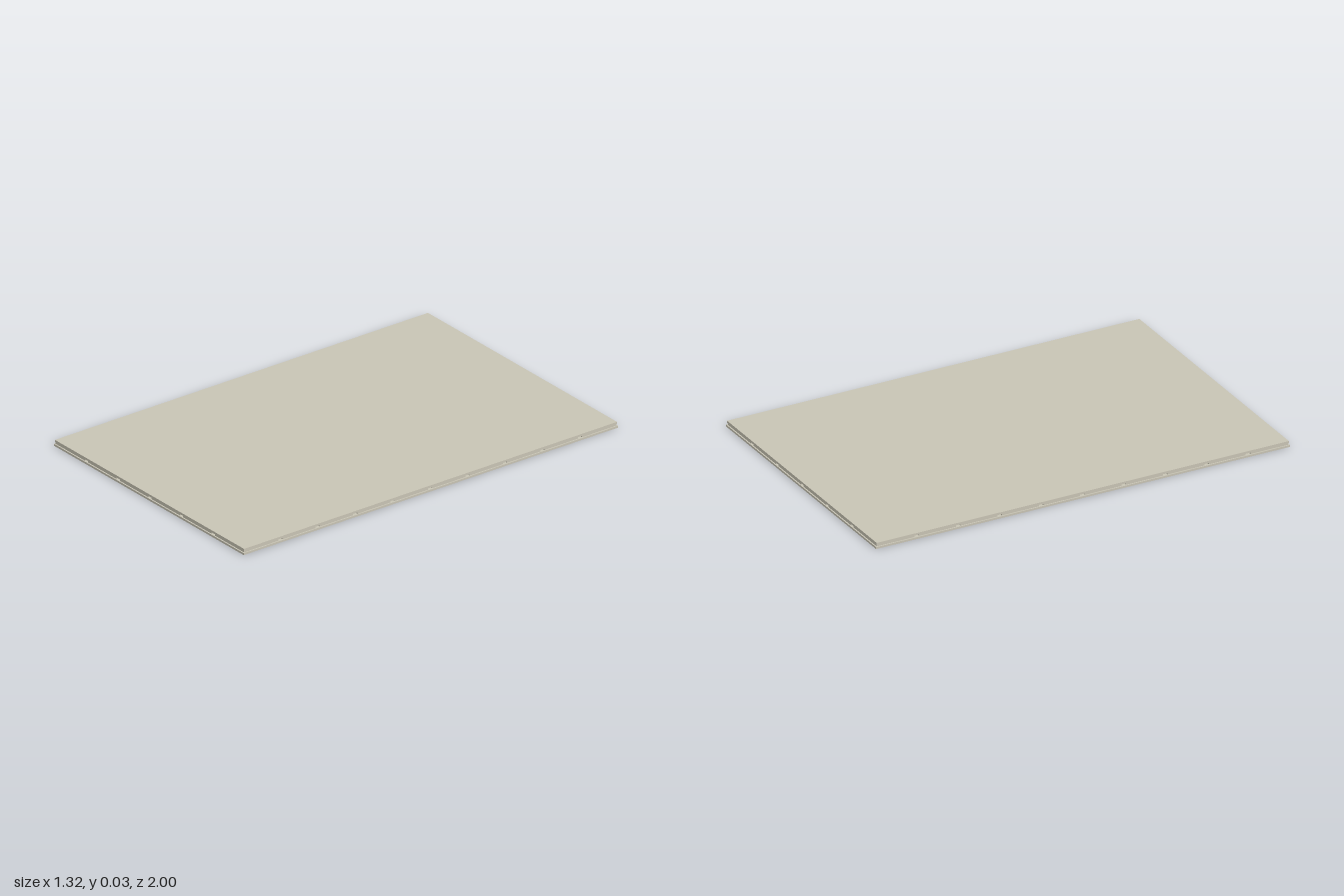
import * as THREE from 'three';

const COLS = 6, ROWS = 10;
const WIDTH = 1.32, DEPTH = 2;
const BAR = 0.022; // rail width, also the gap between pads
const RAIL_TOP = 0.009, PAD_TOP = 0.017, TOP = 0.027;

export function createModel() {
  const group = new THREE.Group();
  const material = new THREE.MeshStandardMaterial({ color: 0xc8c4b4 });

  // Box given by its centre in plan and its bottom and top heights
  function box(name, w, d, x, z, y0, y1) {
    const mesh = new THREE.Mesh(new THREE.BoxGeometry(w, y1 - y0, d), material);
    mesh.name = name;
    mesh.position.set(x, (y0 + y1) / 2, z);
    group.add(mesh);
  }

  // Top sheet, slightly inside the bottom frame
  box('topPanel', WIDTH - 0.006, DEPTH - 0.008, 0, 0, PAD_TOP, TOP);

  // Evenly spaced rail centres; the outer rails stay inside the footprint
  const railPositions = (size, count) => Array.from({ length: count + 1 }, (_, i) =>
    THREE.MathUtils.clamp(-size / 2 + (size * i) / count, -size / 2 + BAR / 2, size / 2 - BAR / 2));
  const xs = railPositions(WIDTH, COLS);
  const zs = railPositions(DEPTH, ROWS);

  // Bottom lattice: long rails, with cross rails cut to fit between them
  for (const x of xs) box('longRail', BAR, DEPTH, x, 0, 0, RAIL_TOP);
  for (const z of zs) {
    for (let i = 0; i < COLS; i++) {
      box('crossRail', xs[i + 1] - xs[i] - BAR, BAR, (xs[i] + xs[i + 1]) / 2, z, 0, RAIL_TOP);
    }
  }

  // Spacer pads over each cell, with open channels above the inner rails
  const span = (size, count, i) => {
    const edge = size / 2 - 0.006, step = size / count;
    const a = i === 0 ? -edge : -size / 2 + i * step + BAR / 2;
    const b = i === count - 1 ? edge : -size / 2 + (i + 1) * step - BAR / 2;
    return { length: b - a, mid: (a + b) / 2 };
  };
  for (let i = 0; i < COLS; i++) {
    for (let j = 0; j < ROWS; j++) {
      const sx = span(WIDTH, COLS, i), sz = span(DEPTH, ROWS, j);
      box('spacerPad', sx.length, sz.length, sx.mid, sz.mid, RAIL_TOP, PAD_TOP);
    }
  }
  return group;
}
